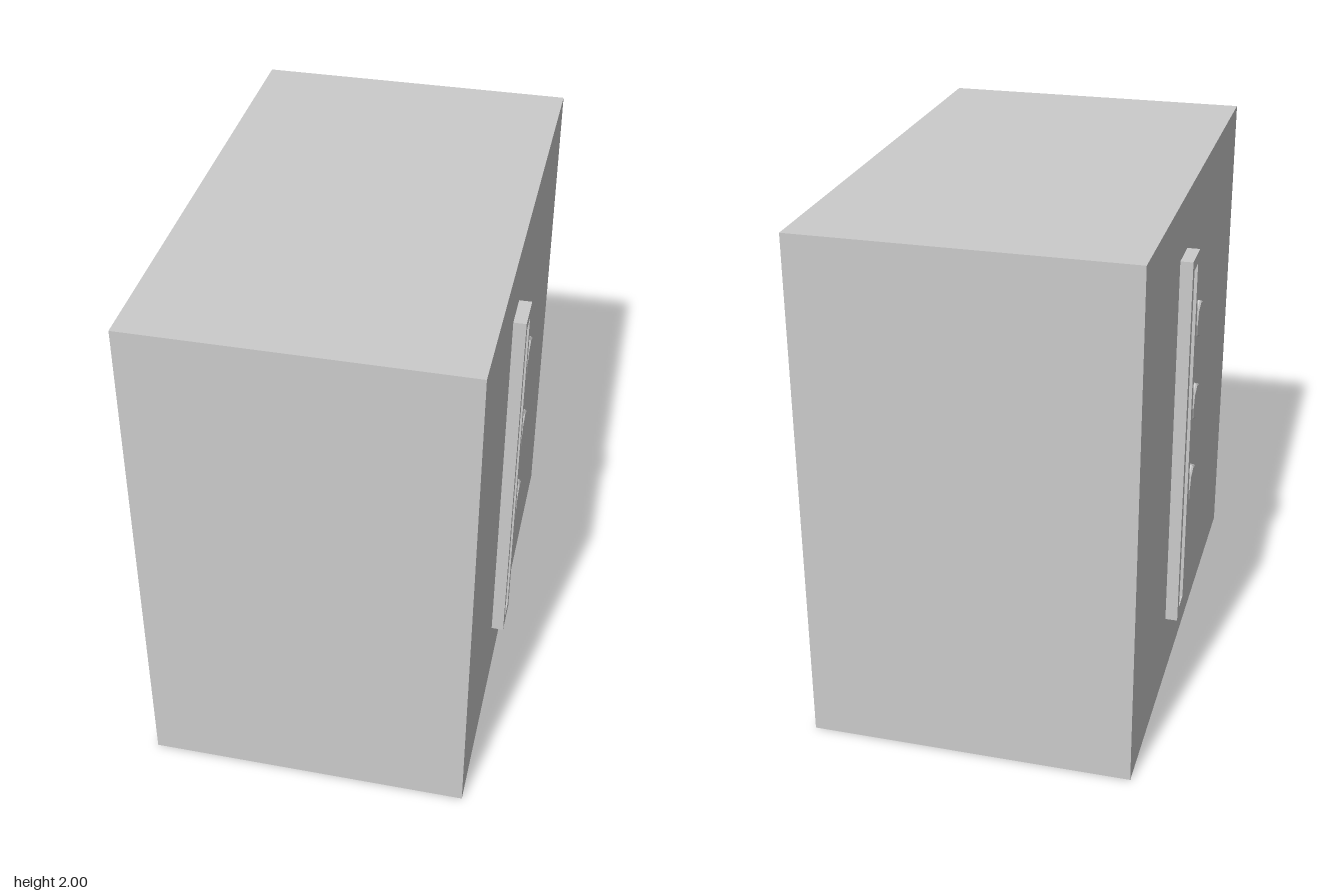
import * as THREE from 'three';

const HALF_WIDTH = 0.615;

function rect(path, x0, y0, x1, y1) {
  path.moveTo(x0, y0);
  path.lineTo(x1, y0);
  path.lineTo(x1, y1);
  path.lineTo(x0, y1);
  path.closePath();
  return path;
}

export function createModel() {
  const model = new THREE.Group();
  const grey = new THREE.MeshStandardMaterial({ color: 0xcccccc, flatShading: true });

  // Main cabinet block
  const body = new THREE.Mesh(new THREE.BoxGeometry(HALF_WIDTH * 2, 2, 2), grey);
  body.name = 'body';
  body.position.y = 1;
  model.add(body);

  // Raised slot frame, extruded outwards from the side
  const outline = rect(new THREE.Shape(), -0.342, 0.28, -0.196, 1.78);
  outline.holes.push(rect(new THREE.Path(), -0.308, 0.325, -0.23, 1.737));
  const frameGeometry = new THREE.ExtrudeGeometry(outline, { depth: 0.047, bevelEnabled: false });
  frameGeometry.rotateY(Math.PI / 2);

  // Eight-sided button with a stepped, slightly bevelled head
  const profile = [[0.068, 0], [0.068, 0.014], [0.075, 0.018], [0.075, 0.036], [0.068, 0.043], [0, 0.043]]
    .map(([r, h]) => new THREE.Vector2(r, h));
  const buttonGeometry = new THREE.LatheGeometry(profile, 8);
  buttonGeometry.rotateZ(-Math.PI / 2);

  // The same fittings on both sides, turned half round
  for (const [side, angle] of [['left', 0], ['right', Math.PI]]) {
    const fittings = new THREE.Group();
    fittings.name = side + 'Fittings';
    fittings.rotation.y = angle;

    const frame = new THREE.Mesh(frameGeometry, grey);
    frame.name = side + 'SlotFrame';
    frame.position.x = HALF_WIDTH;
    fittings.add(frame);

    [0.758, 1.113, 1.458].forEach((y, i) => {
      const button = new THREE.Mesh(buttonGeometry, grey);
      button.name = side + 'Button' + (i + 1);
      button.position.set(HALF_WIDTH, y, 0.07);
      fittings.add(button);
    });
    model.add(fittings);
  }
  return model;
}
